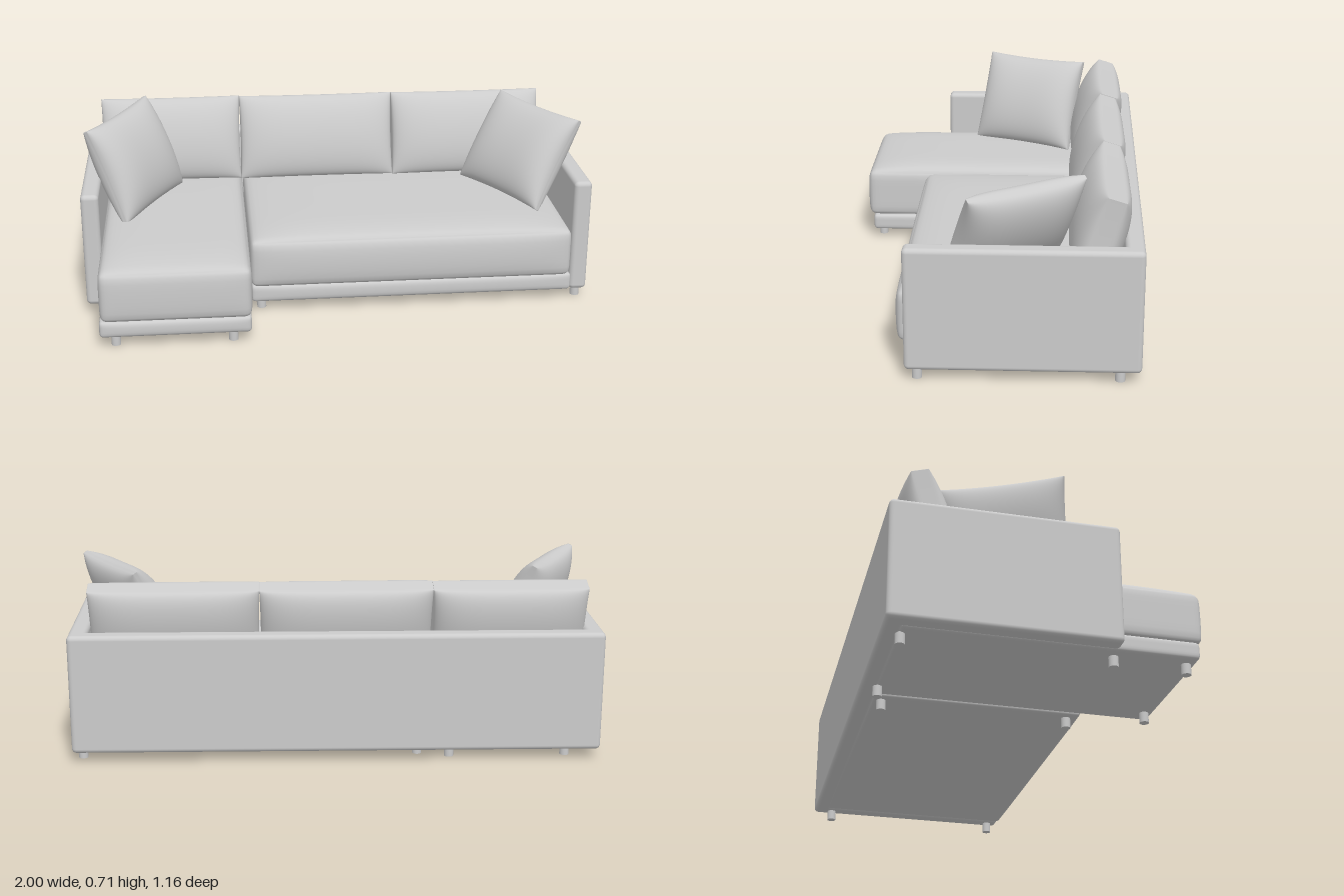
import * as THREE from 'three';
import { mergeVertices } from 'three/addons/utils/BufferGeometryUtils.js';
import { RoundedBoxGeometry } from 'three/addons/geometries/RoundedBoxGeometry.js';

const material = new THREE.MeshStandardMaterial({ color: 0xcccccc });
const ease = (t) => Math.sin((t * Math.PI) / 2);

// Smooth closed box whose vertices are moved by rule(u, v, s, p), with u, v, s in -1..1
function shapedBox(segments, rule) {
  let geo = new THREE.BoxGeometry(2, 2, 2, ...segments);
  geo.deleteAttribute('uv');
  geo.deleteAttribute('normal');
  geo = mergeVertices(geo);
  const pos = geo.attributes.position;
  const p = new THREE.Vector3();
  for (let i = 0; i < pos.count; i++) {
    p.fromBufferAttribute(pos, i);
    rule(ease(p.x), ease(p.y), ease(p.z), p);
    pos.setXYZ(i, p.x, p.y, p.z);
  }
  geo.computeVertexNormals();
  return geo;
}

// Upholstered block between two corners, with rounded edges, a crowned top and bulging sides
function softBlock(min, max, r, crown = 0, bulge = 0) {
  const lo = new THREE.Vector3(...min), hi = new THREE.Vector3(...max);
  const half = hi.clone().sub(lo).multiplyScalar(0.5);
  const inner = half.clone().subScalar(r);
  const geo = shapedBox([28, 10, 28], (u, v, s, p) => {
    p.set(u * half.x, v * half.y, s * half.z);
    const core = p.clone().clamp(inner.clone().negate(), inner);
    p.sub(core).setLength(r).add(core);
    if (v > 0) p.y += crown * v * (1 - u ** 6) * (1 - s ** 6);
    p.z += bulge * s * (1 - v * v) * (1 - u ** 8);
  });
  const c = lo.add(hi).multiplyScalar(0.5);
  return geo.translate(c.x, c.y, c.z);
}

// Stuffed cushion lying in the xy plane, thin at its seam, edges drawn in between the corners
function pillow(w, h, d, seam, pinch) {
  return shapedBox([28, 28, 4], (u, v, s, p) => {
    const fill = Math.sqrt(Math.max(0, (1 - u ** 4) * (1 - v * v)));
    p.set(
      (u * w / 2) * (1 - pinch * (1 - v * v)),
      (v * h / 2) * (1 - pinch * (1 - u * u)),
      (s * d / 2) * (seam + (1 - seam) * fill)
    );
  });
}

// Frame panel between two corners, skewed slightly so the back runs at a small angle
function panel(min, max) {
  const size = max.map((m, i) => m - min[i]);
  const geo = new RoundedBoxGeometry(...size, 4, 0.018);
  geo.translate(...max.map((m, i) => (m + min[i]) / 2));
  return geo.applyMatrix4(new THREE.Matrix4().set(1, 0, 0, 0, 0, 1, 0, 0, 0.015, 0, 1, 0, 0, 0, 0, 1));
}

export function createModel() {
  const sofa = new THREE.Group();
  sofa.name = 'sofa';
  const add = (name, geo) => {
    const mesh = new THREE.Mesh(geo, material);
    mesh.name = name;
    sofa.add(mesh);
    return mesh;
  };

  // Frame
  add('backPanel', panel([-1, 0.04, -0.565], [1, 0.5, -0.495]));
  add('rightArm', panel([-1, 0.04, -0.56], [-0.93, 0.5, 0.27]));
  add('leftArm', panel([0.93, 0.04, -0.56], [1, 0.5, 0.275]));

  // Bases and seat cushions
  add('chaiseBase', softBlock([-0.935, 0.04, -0.52], [-0.36, 0.107, 0.555], 0.016, 0, 0.005));
  add('seatBase', softBlock([-0.35, 0.04, -0.51], [0.935, 0.112, 0.295], 0.016, 0, 0.005));
  add('chaiseCushion', softBlock([-0.93, 0.107, -0.51], [-0.357, 0.308, 0.572], 0.03, 0.028, 0.006));
  add('seatCushion', softBlock([-0.353, 0.112, -0.5], [0.925, 0.308, 0.32], 0.03, 0.028, 0.012));

  // Back cushions, leaning on the back panel
  for (const [x0, x1, z] of [[-0.945, -0.363, -0.415], [-0.363, 0.287, -0.405], [0.287, 0.925, -0.4]]) {
    const cushion = add('backCushion', pillow(x1 - x0, 0.35, 0.19, 0.35, 0.012));
    cushion.position.set((x0 + x1) / 2, 0.493, z);
    cushion.rotation.x = -0.3;
  }

  // Throw pillows, placed by centre, sideways direction and upward direction
  const throwPillow = (name, centre, side, up) => {
    const x = new THREE.Vector3(...side).normalize();
    const z = x.clone().cross(new THREE.Vector3(...up)).normalize();
    const y = z.clone().cross(x);
    const mesh = add(name, pillow(0.47, 0.4, 0.17, 0.1, 0.045));
    mesh.quaternion.setFromRotationMatrix(new THREE.Matrix4().makeBasis(x, y, z));
    mesh.position.set(...centre);
  };
  throwPillow('rightThrowPillow', [-0.8, 0.513, -0.12], [0.21, 0.01, -0.4], [-0.13, 0.34, -0.06]);
  throwPillow('leftThrowPillow', [0.785, 0.512, -0.092], [0.225, -0.01, 0.385], [0.175, 0.32, -0.085]);

  // Legs
  const legs = [
    [-0.875, 0.52], [-0.43, 0.52], [-0.875, 0.25], [-0.875, -0.51], [-0.43, -0.51],
    [-0.31, 0.245], [0.965, 0.245], [-0.31, -0.475], [0.965, -0.475],
  ];
  for (const [x, z] of legs) {
    add('leg', new THREE.CylinderGeometry(0.018, 0.018, 0.05, 16)).position.set(x, 0.025, z);
  }
  return sofa;
}
